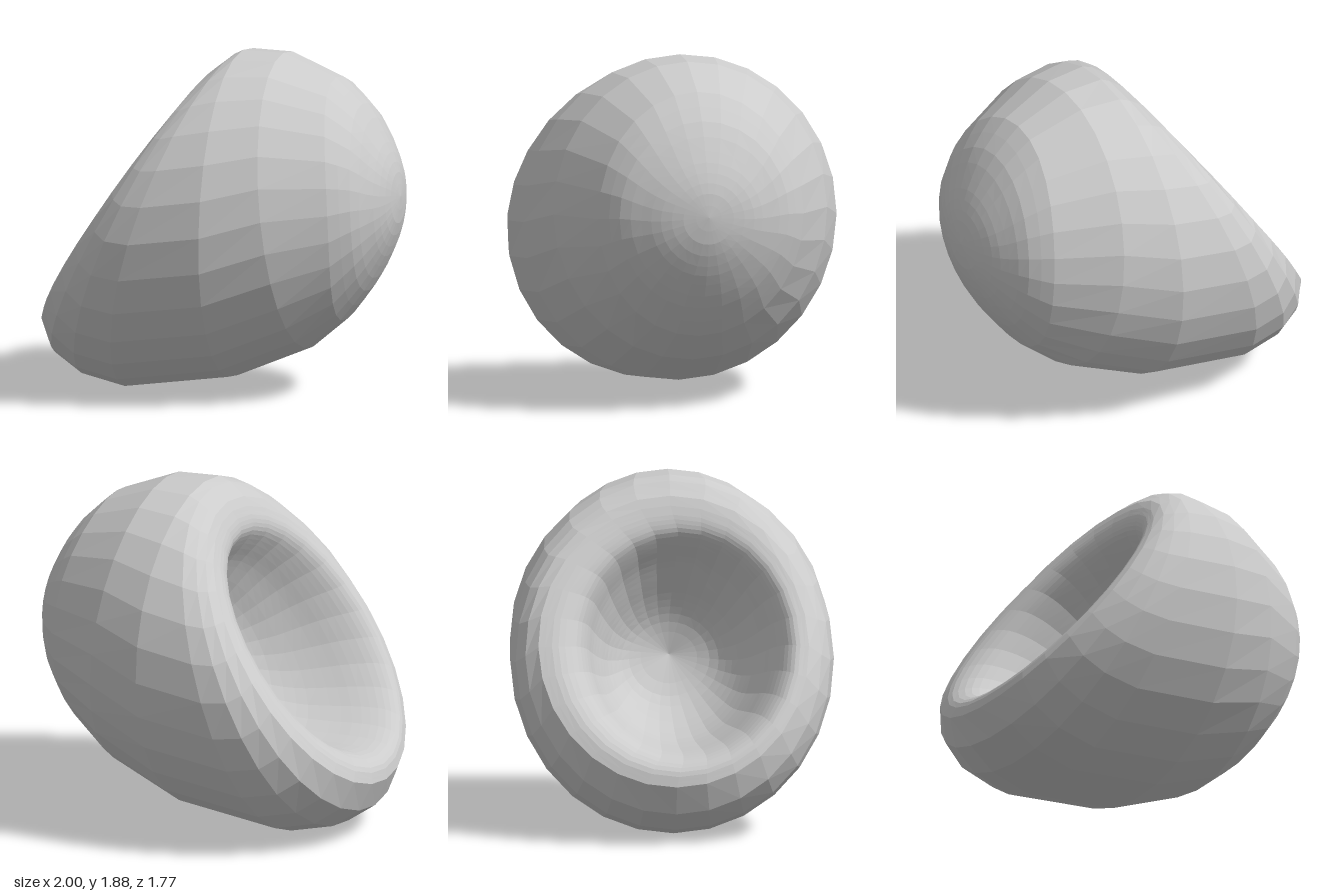
import * as THREE from 'three';

const SEGMENTS = 28;

// Each ring: low point (x, y), high point (x, y), half width in z, forward bulge in x, shift in z

// finely faceted rounded end, from its pole outwards
const NOSE = [
  [1.0, 1.12, 1.0, 1.12, 0, 0, 0],
  [0.99, 0.97, 0.98, 1.25, 0.14, 0, 0],
  [0.95, 0.84, 0.94, 1.36, 0.26, 0.01, 0],
  [0.9, 0.73, 0.88, 1.47, 0.36, 0.02, 0],
  [0.82, 0.59, 0.78, 1.62, 0.47, 0.05, 0],
  [0.69, 0.42, 0.63, 1.76, 0.57, 0.09, 0],
];

// coarsely faceted body, rolling over into the lip
const BODY = [
  NOSE.at(-1),
  [0.5, 0.26, 0.33, 1.88, 0.76, 0.01, 0],
  [0.07, 0.08, 0.1, 1.885, 0.87, 0.02, 0],
  [-0.52, 0, 0.05, 1.86, 0.885, -0.06, 0],
  [-0.77, 0.06, 0, 1.82, 0.86, -0.05, 0],
  [-0.93, 0.17, -0.04, 1.79, 0.81, -0.02, 0],
  [-1.0, 0.33, -0.07, 1.74, 0.74, 0, 0],
];

// finely faceted lip edge and hollow, narrowing to its deepest point
const HOLLOW = [
  BODY.at(-1),
  [-0.975, 0.41, -0.1, 1.67, 0.65, 0, 0.02],
  [-0.9, 0.46, -0.105, 1.6, 0.57, 0.02, 0.04],
  [-0.77, 0.48, -0.06, 1.52, 0.51, 0.04, 0.04],
  [-0.59, 0.485, 0.01, 1.42, 0.46, 0.04, 0.03],
  [-0.39, 0.5, 0.07, 1.31, 0.4, 0.03, 0.02],
  [-0.17, 0.56, 0.13, 1.19, 0.33, 0.01, 0.01],
  [0.03, 0.67, 0.17, 1.06, 0.22, 0, 0],
  [0.18, 0.88, 0.18, 0.88, 0, 0, 0],
];

// Add smoothly interpolated rings between the given ones
function refine(rings, steps) {
  const size = rings[0].length;
  const spline = new THREE.CubicInterpolant(rings.map((_, i) => i), rings.flat(), size, new Float32Array(size));
  const count = (rings.length - 1) * steps;
  return Array.from({ length: count + 1 }, (_, i) => [...spline.evaluate(i / steps)]);
}

// Point on a ring at angle a, measured from the high point towards +z
function ringPoint([lx, ly, hx, hy, w, bulge, shift], a) {
  const c = Math.cos(a), s = Math.sin(a);
  return [
    (lx + hx) / 2 + (c * (hx - lx)) / 2 + bulge * s * s,
    (ly + hy) / 2 + (c * (hy - ly)) / 2,
    w * s + shift,
  ];
}

// Skin the surface between consecutive rings; a ring of zero width is a pole
function loftRings(rings) {
  const positions = [], index = [];
  for (const ring of rings) {
    for (let j = 0; j < SEGMENTS; j++) {
      positions.push(...ringPoint(ring, (j / SEGMENTS) * Math.PI * 2));
    }
  }
  for (let i = 0; i < rings.length - 1; i++) {
    for (let j = 0; j < SEGMENTS; j++) {
      const p = i * SEGMENTS + j;
      const s = i * SEGMENTS + ((j + 1) % SEGMENTS);
      const r = p + SEGMENTS, q = s + SEGMENTS;
      if (rings[i + 1][4] > 0) index.push(p, r, q);
      if (rings[i][4] > 0) index.push(p, q, s);
    }
  }
  const geometry = new THREE.BufferGeometry();
  geometry.setAttribute('position', new THREE.Float32BufferAttribute(positions, 3));
  geometry.setIndex(index);
  geometry.computeVertexNormals();
  return geometry;
}

export function createModel() {
  const group = new THREE.Group();
  group.name = 'hollowBody';
  const material = new THREE.MeshStandardMaterial({ color: 0xcccccc, flatShading: true });
  const addPart = (name, rings) => {
    const mesh = new THREE.Mesh(loftRings(rings), material);
    mesh.name = name;
    group.add(mesh);
  };
  addPart('roundedEnd', refine(NOSE, 2));
  addPart('bodyAndLip', BODY);
  addPart('hollow', refine(HOLLOW, 3));
  return group;
}
